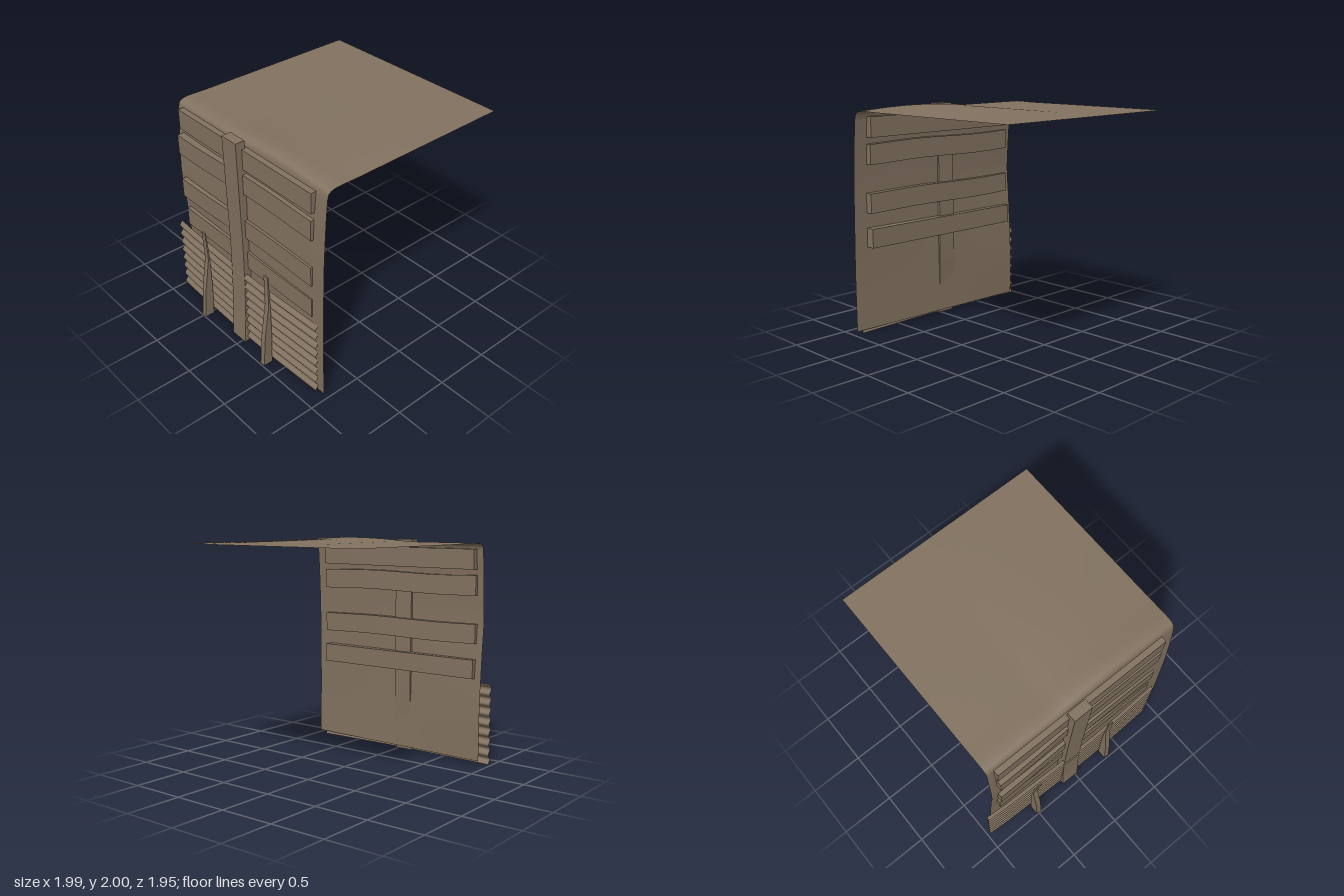
import * as THREE from 'three';

const wood = new THREE.MeshStandardMaterial({ color: 0x827260, side: THREE.DoubleSide });
wood.name = 'weathered brown';

// piecewise linear lookup in [[key, value], ...]
function ramp(keys, t) {
  for (let i = 1; i < keys.length; i++) {
    const [a, va] = keys[i - 1], [b, vb] = keys[i];
    if (t <= b) return va + (vb - va) * Math.max(0, (t - a) / (b - a));
  }
  return keys[keys.length - 1][1];
}

// move every vertex by a rule
function warp(geo, rule) {
  const p = geo.attributes.position, v = new THREE.Vector3();
  for (let i = 0; i < p.count; i++) {
    rule(v.fromBufferAttribute(p, i));
    p.setXYZ(i, v.x, v.y, v.z);
  }
  geo.computeVertexNormals();
  return geo;
}

// open sheet from a rule (u, v) -> point, u and v in 0..1
function sheet(nu, nv, rule) {
  return warp(new THREE.PlaneGeometry(1, 1, nu, nv), (p) => p.copy(rule(p.x + 0.5, p.y + 0.5)));
}

// hanging wall and roof, one bent sheet
function bentSheet() {
  const rows = [0.03, 0.5, 1.0, 1.3, 1.6, 1.85];
  const front = [-0.842, -0.848, -0.842, -0.836, -0.822, -0.805];
  const middle = [-0.815, -0.822, -0.83, -0.83, -0.82, -0.802];
  const back = [-0.79, -0.79, -0.815, -0.835, -0.82, -0.802];
  return sheet(28, 66, (u, v) => {
    const z = -0.9 + 1.86 * u;
    const s = u * 2 - 1;
    const pts = rows.map((y, i) => new THREE.Vector3(
      middle[i] + s * (front[i] - back[i]) / 2 + s * s * ((front[i] + back[i]) / 2 - middle[i]),
      y, z + Math.max(0, s) * 0.015 * (1 - y / 2)));
    // low hump along the bend that fades toward the free edge
    const hump = z > -0.15 ? 0.024 * Math.sin(Math.PI * (z + 0.15) / 1.11) : -0.004;
    pts.push(
      new THREE.Vector3(-0.796, 1.92, z),
      new THREE.Vector3(-0.78, 1.955 + hump * 0.7, z),
      new THREE.Vector3(-0.735, 1.974 + hump, z),
      new THREE.Vector3(-0.5, 1.974 + hump * 0.85, z),
      new THREE.Vector3(0.25, 1.975 + hump * 0.4, z),
      new THREE.Vector3(0.995, 1.976, z));
    return new THREE.CatmullRomCurve3(pts, false, 'centripetal').getPoint(v);
  });
}

// corrugated panel, waves running along z
function corrugatedPanel() {
  const bow = [[-0.975, -0.853], [-0.8, -0.866], [-0.1, -0.885], [0.3, -0.885], [0.91, -0.862]];
  return sheet(20, 96, (u, v) => {
    const z = -0.975 + 1.885 * u;
    return new THREE.Vector3(ramp(bow, z) + 0.013 * Math.cos(v * Math.PI * 16), 0.735 * v, z);
  });
}

// upright bar: back and front x by height, z centre by height
function upright(height, backX, frontX, midZ, width, steps) {
  return warp(new THREE.BoxGeometry(1, 1, 1, 1, steps, 1), (p) => {
    const y = (p.y + 0.5) * height;
    p.set(ramp(p.x < 0 ? backX : frontX, y), y, ramp(midZ, y) + p.z * width);
  });
}

// horizontal slat, optionally warped along its length
function slat(y0, y1, x0, x1, bend) {
  return warp(new THREE.BoxGeometry(x1 - x0, y1 - y0, 1.67, 1, 1, 20), (p) => {
    p.x += (x0 + x1) / 2 - bend * 0.025 * THREE.MathUtils.smoothstep(-p.z, -0.2, 0.835);
    p.y += (y0 + y1) / 2 + bend * 0.007 * Math.sin((p.z + 0.1) * 4.5);
  });
}

export function createModel() {
  const group = new THREE.Group();
  const add = (name, geo) => {
    const mesh = new THREE.Mesh(geo, wood);
    mesh.name = name;
    group.add(mesh);
  };

  add('bentSheet', bentSheet());
  add('corrugatedPanel', corrugatedPanel());

  add('post', upright(1.99,
    [[0, -0.93], [0.25, -0.908], [0.6, -0.895], [1, -0.89], [1.99, -0.903]],
    [[0, -0.84], [0.25, -0.819], [0.6, -0.806], [1, -0.802], [1.5, -0.809], [1.99, -0.817]],
    [[0, -0.06], [1.99, -0.06]], 0.175, 16));

  [
    [0.775, 0.945, -0.85, -0.762, 0],
    [1.085, 1.26, -0.855, -0.773, 0.8],
    [1.512, 1.69, -0.852, -0.765, 1],
    [1.742, 1.92, -0.847, -0.748, 0],
  ].forEach((s, i) => add('slat' + (i + 1), slat(...s)));

  // tapered braces against the outside
  add('backBrace', upright(0.91,
    [[0, -0.995], [0.3, -0.968], [0.62, -0.915], [0.91, -0.942]],
    [[0, -0.905], [0.3, -0.895], [0.62, -0.9], [0.91, -0.93]],
    [[0, -0.495], [0.6, -0.495], [0.91, -0.475]], 0.05, 12));
  add('frontBrace', upright(0.91,
    [[0, -0.987], [0.3, -0.962], [0.62, -0.912], [0.91, -0.913]],
    [[0, -0.9], [0.3, -0.892], [0.62, -0.895], [0.91, -0.902]],
    [[0, 0.345], [0.91, 0.345]], 0.05, 12));

  return group;
}
